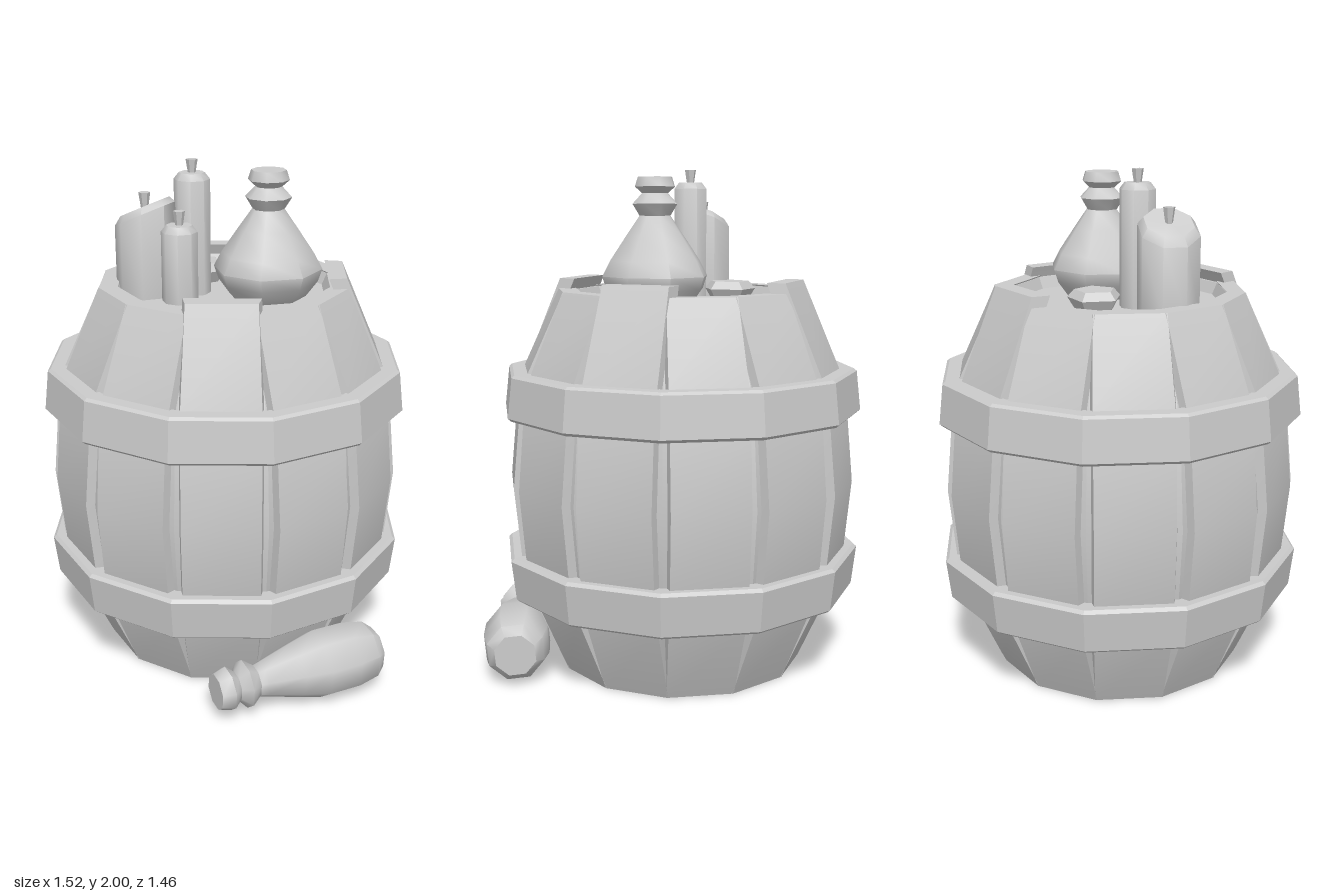
import * as THREE from 'three';
import { toCreasedNormals } from 'three/addons/utils/BufferGeometryUtils.js';

const SIDES = 12;
const START = THREE.MathUtils.degToRad(9.5);
const STEP = (Math.PI * 2) / SIDES;
const CX = -0.04, CZ = -0.012;
const LID_Y = 1.48;

const material = new THREE.MeshStandardMaterial({ color: 0xcccccc });

function addMesh(parent, name, geometry, crease) {
  const mesh = new THREE.Mesh(toCreasedNormals(geometry, crease), material);
  mesh.name = name;
  parent.add(mesh);
  return mesh;
}

// Revolved profile, listed from bottom to top as [radius, y]
function turned(profile, sides, start = 0) {
  const points = profile.map(([r, y]) => new THREE.Vector2(r, y));
  return new THREE.LatheGeometry(points, sides, start);
}

// Bulging barrel outline: [y, distance from axis to stave face, half width]
const OUTLINE = [
  [0, 0.48, 0.132], [0.32, 0.622, 0.146], [0.49, 0.66, 0.147], [0.765, 0.686, 0.148],
  [1.04, 0.66, 0.147], [1.22, 0.622, 0.146], [1.53, 0.48, 0.132],
];

// One plank: a box bent along the outline, its sides flaring inwards
function staveGeometry(raise) {
  const n = OUTLINE.length - 1;
  const geometry = new THREE.BoxGeometry(1, 1, 1, 1, n, 1);
  const p = geometry.attributes.position;
  for (let i = 0; i < p.count; i++) {
    const level = Math.round((p.getY(i) + 0.5) * n);
    const [y, face, half] = OUTLINE[level];
    const inner = p.getZ(i) < 0;
    const top = level === n ? raise : 0;
    p.setXYZ(i, Math.sign(p.getX(i)) * (half + (inner ? 0.012 : 0)),
      y + top, face - (inner ? 0.07 : 0) - top * 0.2);
  }
  return geometry;
}

function buildBarrel() {
  const barrel = new THREE.Group();
  barrel.name = 'barrel';
  barrel.position.set(CX, 0, CZ);
  const toCorner = 1 / Math.cos(STEP / 2);

  // Inner shell behind the gaps, with sunken bottom and lid
  const wall = OUTLINE.map(([y, face]) =>
    [(face - 0.035) * toCorner, THREE.MathUtils.clamp(y, 0.005, 1.525)]);
  addMesh(barrel, 'innerShellAndLid', turned([
    [0, 0.11], [0.425, 0.11], [0.425, 0.005], ...wall,
    [0.425, 1.525], [0.405, LID_Y], [0, LID_Y],
  ], SIDES, START), 0.3);

  // Staves, three of them standing a little taller
  for (let i = 0; i < SIDES; i++) {
    const raised = i === 0 || i === 3 || i === 6;
    const stave = addMesh(barrel, 'stave', staveGeometry(raised ? 0.04 : 0), 0.45);
    stave.rotation.y = START + STEP * (i + 0.5);
  }

  // Two hoops, the lower one a mirror of the upper
  const section = [[0.63, 1.045], [0.715, 1.04], [0.728, 1.052], [0.71, 1.208],
    [0.698, 1.218], [0.63, 1.218], [0.63, 1.045]];
  addMesh(barrel, 'upperHoop', turned(section, SIDES, START), 0.3);
  const mirrored = section.map(([r, y]) => [r, 1.532 - y]).reverse();
  addMesh(barrel, 'lowerHoop', turned(mirrored, SIDES, START), 0.3);
  return barrel;
}

function buildCandle(name, x, z, r, top, chamfer, slope, wickTop) {
  const candle = new THREE.Group();
  candle.name = name;
  candle.position.set(x, 0, z);
  const geometry = turned([
    [0, LID_Y], [r, LID_Y], [r, top - chamfer], [r - chamfer * 0.8, top], [0, top],
  ], 8, Math.PI / 8);
  // Slanted top
  const p = geometry.attributes.position;
  for (let i = 0; i < p.count; i++) {
    if (p.getY(i) > LID_Y + 0.1) p.setY(i, p.getY(i) + slope * p.getX(i));
  }
  addMesh(candle, 'wax', geometry, 0.82);
  const height = wickTop - top + 0.02;
  const wick = addMesh(candle, 'wick', new THREE.CylinderGeometry(0.023, 0.012, height, 6), 0.5);
  wick.position.y = wickTop - height / 2;
  return candle;
}

export function createModel() {
  const model = new THREE.Group();
  model.name = 'barrelWithCandlesAndBottles';
  model.add(buildBarrel());

  // Candles on the lid
  model.add(buildCandle('wideCandle', -0.312, 0.126, 0.118, 1.82, 0.028, 0.45, 1.875));
  model.add(buildCandle('tallCandle', -0.15, 0.042, 0.07, 1.95, 0.025, 0, 2.0));
  model.add(buildCandle('shortCandle', -0.138, 0.175, 0.07, 1.775, 0.025, 0, 1.828));

  // Round-bellied flask with ringed neck
  const flask = addMesh(model, 'flask', turned([
    [0, LID_Y], [0.15, LID_Y], [0.195, 1.54], [0.212, 1.59], [0.18, 1.65], [0.115, 1.745],
    [0.062, 1.82], [0.09, 1.865], [0.052, 1.905], [0.08, 1.93], [0.068, 1.967], [0, 1.967],
  ], 8, 0.3), 0.83);
  flask.position.set(0.132, 0, -0.045);

  // Small faceted stopper
  const stopper = addMesh(model, 'stopper', turned([
    [0, LID_Y], [0.075, LID_Y], [0.107, 1.53], [0.08, 1.56], [0, 1.56],
  ], 5, Math.PI / 2), 0.3);
  stopper.position.set(-0.2, 0, -0.13);

  // Bottle lying on the ground, neck towards the front
  const bottle = addMesh(model, 'lyingBottle', turned([
    [0, 0], [0.085, 0], [0.118, 0.04], [0.136, 0.13], [0.136, 0.26], [0.11, 0.36],
    [0.07, 0.5], [0.062, 0.53], [0.095, 0.575], [0.056, 0.61], [0.086, 0.645],
    [0.07, 0.695], [0, 0.695],
  ], 8, Math.PI / 8), 0.83);
  bottle.position.set(0.7, 0.133, 0.155);
  bottle.quaternion.setFromUnitVectors(
    new THREE.Vector3(0, 1, 0), new THREE.Vector3(-0.64, 0, 0.77).normalize());

  return model;
}
